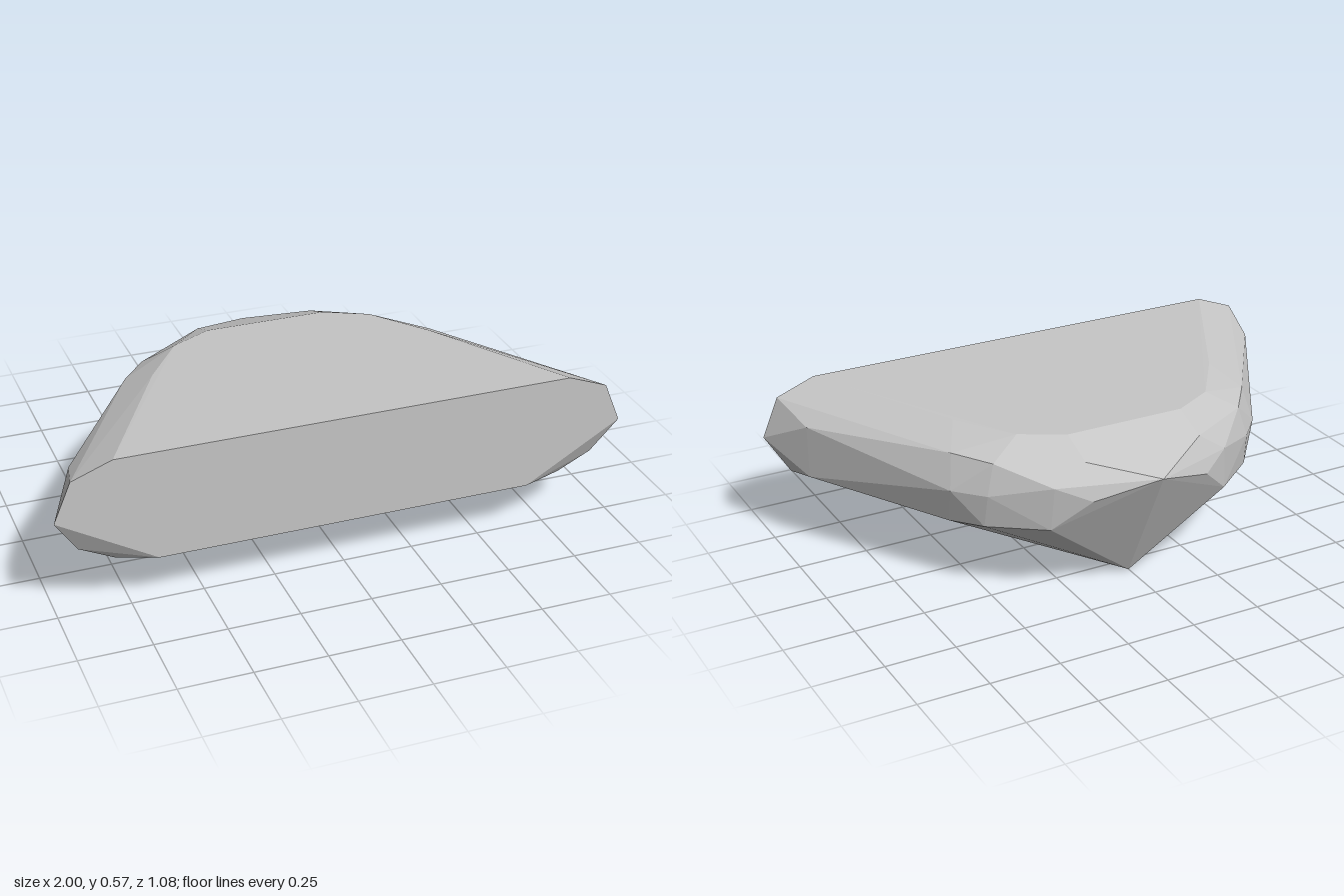
import * as THREE from 'three';
import { ConvexGeometry } from 'three/addons/geometries/ConvexGeometry.js';

export function createModel() {
  const group = new THREE.Group();
  const stone = new THREE.MeshStandardMaterial({ color: 0xc5c5c5, flatShading: true });
  stone.name = 'stone grey';

  // corners of one half of the faceted rock; mirrored across x
  const half = [
    // cut front face
    [0.80, 0.575, 0.54], [0.94, 0.522, 0.54], [1.0, 0.38, 0.54], [0.66, 0.182, 0.54],
    // lower front corners
    [0.80, 0.19, 0.50], [0.92, 0.248, 0.50],
    // flat top
    [0.22, 0.552, -0.28], [0.37, 0.554, -0.20], [0.51, 0.559, 0.0],
    // upper shoulder
    [0.22, 0.502, -0.405], [0.48, 0.488, -0.245], [0.575, 0.498, -0.12], [0.902, 0.47, 0.36],
    // widest ring
    [0.22, 0.38, -0.46], [0.33, 0.425, -0.395], [0.51, 0.38, -0.26], [0.60, 0.38, -0.16],
    // lower ring
    [0.34, 0.27, -0.385], [0.515, 0.262, -0.24], [0.59, 0.25, -0.12], [0.902, 0.28, 0.36],
  ];
  // back tip and keel on the centre line
  const points = [
    new THREE.Vector3(0, 0.447, -0.54),
    new THREE.Vector3(0, 0, -0.19),
    new THREE.Vector3(0, 0, -0.315),
  ];
  for (const [x, y, z] of half) {
    points.push(new THREE.Vector3(x, y, z), new THREE.Vector3(-x, y, z));
  }

  const rock = new THREE.Mesh(new ConvexGeometry(points), stone);
  rock.name = 'rock';
  group.add(rock);
  return group;
}
